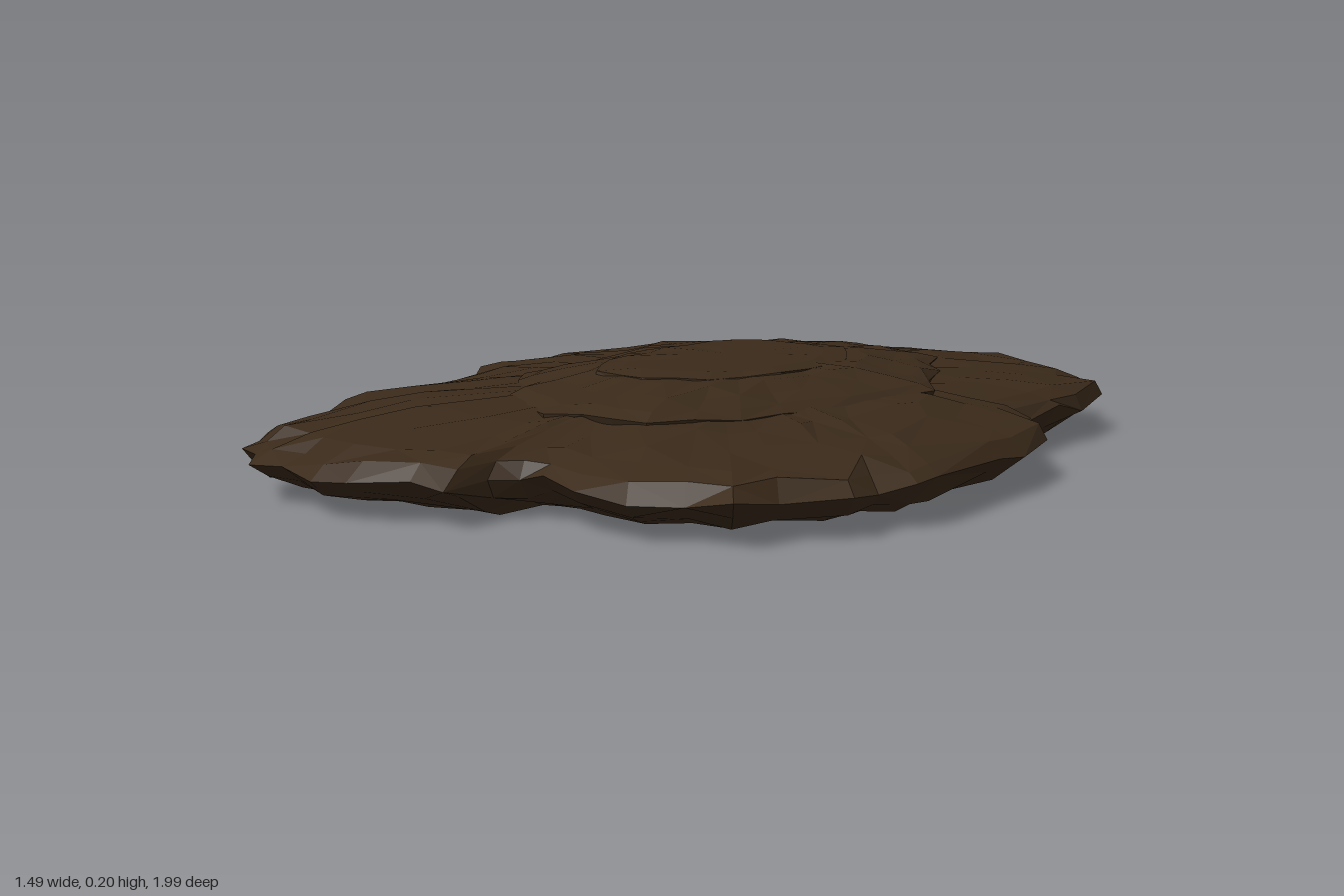
import * as THREE from 'three';

// Repeatable noise in -1..1
const noise = (a, b) => {
  const s = Math.sin(a * 127.1 + b * 311.7) * 43758.5453;
  return (s - Math.floor(s)) * 2 - 1;
};

// Ragged rim of the slab as x, z pairs, clockwise from the back
const RIM = [
  0.28, -1, 0.41, -0.83, 0.52, -0.77, 0.54, -0.69, 0.6, -0.64, 0.62, -0.47, 0.6, -0.39, 0.6, -0.19,
  0.65, -0.15, 0.66, -0.09, 0.72, -0.03, 0.74, 0.13, 0.73, 0.22, 0.72, 0.47, 0.71, 0.53, 0.66, 0.58,
  0.66, 0.67, 0.56, 0.75, 0.53, 0.85, 0.43, 0.84, 0.34, 0.88, 0.22, 0.86, 0.13, 0.82, 0.08, 0.82,
  0.04, 0.86, 0.02, 0.96, -0.06, 0.95, -0.17, 0.99, -0.25, 0.99, -0.36, 0.94, -0.44, 0.94, -0.46, 0.9,
  -0.52, 0.87, -0.54, 0.8, -0.6, 0.71, -0.6, 0.57, -0.68, 0.44, -0.63, 0.33, -0.6, 0.2, -0.67, 0.11,
  -0.66, 0.02, -0.68, -0.05, -0.75, -0.16, -0.7, -0.23, -0.69, -0.37, -0.65, -0.46, -0.61, -0.55, -0.61, -0.69,
  -0.5, -0.77, -0.39, -0.84, -0.33, -0.8, -0.26, -0.84, -0.23, -0.82, -0.18, -0.88, -0.13, -0.82, 0.07, -0.97,
  0.13, -0.92, 0.2, -0.96, 0.22, -0.93,
];

// Irregular oval rim, clockwise from the back
function ovalRim(rx, rz, sides, seed) {
  return Array.from({ length: sides }, (_, j) => {
    const a = (j / sides) * Math.PI * 2;
    const r = 1 + noise(j, seed) * 0.07;
    return [Math.sin(a) * rx * r, -Math.cos(a) * rz * r];
  });
}

// Skin of rings from bottom to top; each ring is [scale, height, sideways noise, height noise]
function rockLayer(name, rim, rings, material, seed) {
  const n = rim.length;
  const pos = [];
  const index = [];
  rings.forEach(([scale, y, side, lift], i) => {
    rim.forEach(([x, z], j) => {
      const k = scale + noise(j, i + seed) * side;
      pos.push(x * k, Math.max(0, y + noise(j + 7, i + seed + 3) * lift), z * k);
    });
    if (i === 0) return;
    for (let j = 0; j < n; j++) {
      const a = (i - 1) * n + j, b = (i - 1) * n + ((j + 1) % n);
      const d = a + n, c = b + n;
      if ((i + j) % 2) index.push(a, d, c, a, c, b);
      else index.push(a, d, b, d, c, b);
    }
  });
  const indexed = new THREE.BufferGeometry();
  indexed.setAttribute('position', new THREE.Float32BufferAttribute(pos, 3));
  indexed.setIndex(index);
  const geometry = indexed.toNonIndexed();
  geometry.computeVertexNormals();
  const mesh = new THREE.Mesh(geometry, material);
  mesh.name = name;
  return mesh;
}

export function createModel() {
  const group = new THREE.Group();
  group.name = 'flatRock';
  const material = new THREE.MeshStandardMaterial({ color: 0x3a2a1a, flatShading: true });

  // Wide slab with a flat underside and a jagged edge
  const rim = [];
  for (let i = 0; i < RIM.length; i += 2) rim.push([RIM[i], RIM[i + 1]]);
  group.add(rockLayer('baseSlab', rim, [
    [0, 0, 0, 0],
    [0.45, 0, 0.02, 0],
    [0.8, 0, 0.03, 0],
    [0.89, 0.02, 0.02, 0.008],
    [0.965, 0.045, 0.015, 0.01],
    [1, 0.075, 0, 0.012],
    [0.965, 0.1, 0.015, 0.008],
    [0.9, 0.117, 0.02, 0.006],
    [0.79, 0.131, 0.03, 0.006],
    [0.65, 0.145, 0.03, 0.006],
    [0.45, 0.15, 0.02, 0.004],
    [0, 0.155, 0, 0],
  ], material, 1));

  // Raised mound over the middle
  const mound = rockLayer('upperMound', ovalRim(0.4, 0.6, 34, 5), [
    [0.98, 0.125, 0.01, 0],
    [1, 0.148, 0.015, 0.005],
    [0.92, 0.162, 0.025, 0.004],
    [0.78, 0.174, 0.03, 0.005],
    [0.62, 0.185, 0.03, 0.004],
    [0.35, 0.191, 0.03, 0.003],
    [0, 0.193, 0, 0],
  ], material, 20);
  mound.position.x = 0.04;
  group.add(mound);

  // Thin crust on the summit
  const crust = rockLayer('summitCrust', ovalRim(0.23, 0.34, 22, 9), [
    [1, 0.17, 0.02, 0],
    [0.98, 0.189, 0.03, 0.003],
    [0.8, 0.196, 0.04, 0.002],
    [0.4, 0.199, 0.04, 0.001],
    [0, 0.2, 0, 0],
  ], material, 40);
  crust.position.x = 0.02;
  group.add(crust);

  return group;
}
